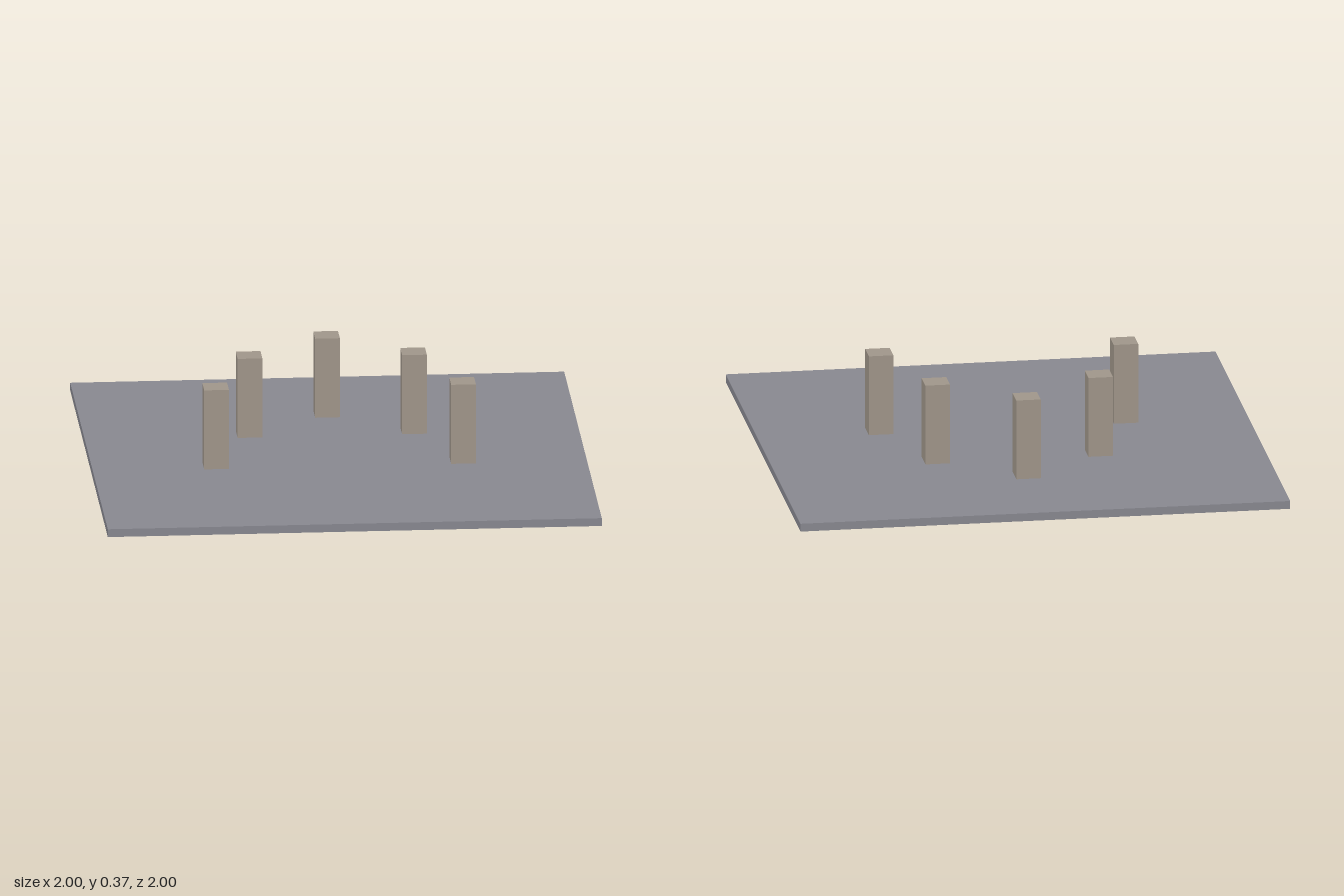
import * as THREE from 'three';

export function createModel() {
  const model = new THREE.Group();
  const slate = new THREE.MeshStandardMaterial({ name: 'slate grey', color: 0x888890 });
  const stone = new THREE.MeshStandardMaterial({ name: 'warm stone', color: 0xa0968a });

  // Square ground slab
  const baseHeight = 0.033;
  const base = new THREE.Mesh(new THREE.BoxGeometry(2, baseHeight, 2), slate);
  base.name = 'baseSlab';
  base.position.y = baseHeight / 2;
  model.add(base);

  // Arc of standing pillars, open to the front
  const pillarHeight = 0.334;
  const pillarGeometry = new THREE.BoxGeometry(0.1, pillarHeight, 0.1);
  const addPillar = (name, x, z) => {
    const pillar = new THREE.Mesh(pillarGeometry, stone);
    pillar.name = name;
    pillar.position.set(x, baseHeight + pillarHeight / 2, z);
    model.add(pillar);
  };
  addPillar('backPillar', 0, -0.5);
  for (const [side, sign] of [['left', 1], ['right', -1]]) {
    addPillar(`${side}MiddlePillar`, sign * 0.333, -0.25);
    addPillar(`${side}FrontPillar`, sign * 0.5, 0.167);
  }

  return model;
}
